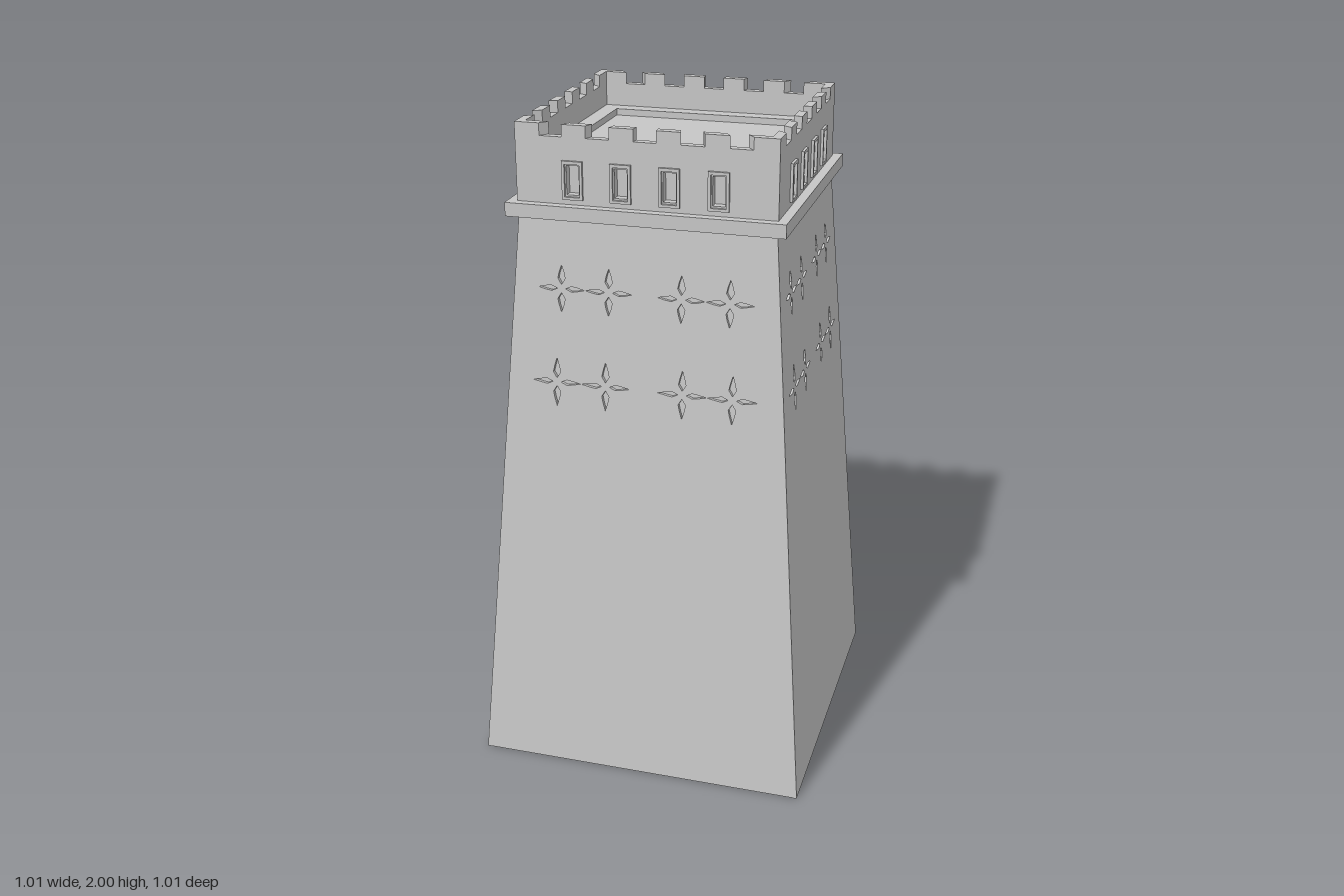
import * as THREE from 'three';

const BASE = 0.505, NECK = 0.375, BODY_TOP = 1.735;   // tapered body
const WALL = 0.377, INNER = 0.352;                    // parapet half widths
const CARVE = 0.012;                                  // depth of the carved crosses

const rect = (x0, y0, x1, y1, Type = THREE.Shape) => new Type([
  new THREE.Vector2(x0, y0), new THREE.Vector2(x1, y0),
  new THREE.Vector2(x1, y1), new THREE.Vector2(x0, y1)]);

const extrude = (shape, depth) =>
  new THREE.ExtrudeGeometry(shape, { depth, bevelEnabled: false });

// One pointed petal, starting near the cross centre and running along an angle
function petal(cx, cy, angle, length, width) {
  const profile = [[0.012, 0], [0.03, -width], [0.048, -width * 0.65], [length, 0],
    [0.048, width * 0.65], [0.03, width]];
  const c = Math.cos(angle), s = Math.sin(angle);
  return new THREE.Path(profile.map(([u, v]) =>
    new THREE.Vector2(cx + u * c - v * s, cy + u * s + v * c)));
}

export function createModel() {
  const model = new THREE.Group();
  model.name = 'tower';
  const stone = new THREE.MeshStandardMaterial({ color: 0xc6c6c6 });
  stone.name = 'pale grey stone';

  const add = (parent, name, geometry) => {
    const mesh = new THREE.Mesh(geometry, stone);
    mesh.name = name;
    parent.add(mesh);
    return mesh;
  };

  // Solid core behind the carved faces
  const r = Math.SQRT2;
  const core = new THREE.CylinderGeometry((NECK - CARVE) * r, (BASE - CARVE) * r, BODY_TOP, 4)
    .rotateY(Math.PI / 4).translate(0, BODY_TOP / 2, 0).toNonIndexed();
  core.computeVertexNormals();
  add(model, 'bodyCore', core);

  // Sloping face with two rows of four-petal crosses
  const slope = Math.atan((BASE - NECK) / BODY_TOP);
  const slant = BODY_TOP / Math.cos(slope);
  const face = new THREE.Shape([[-BASE, 0], [BASE, 0], [NECK, slant], [-NECK, slant]]
    .map(p => new THREE.Vector2(...p)));
  for (const [y, xs, length] of [[1.53, [0.107, 0.248], 0.069], [1.25, [0.115, 0.263], 0.073]]) {
    for (const x of xs) for (const side of [-1, 1]) for (let k = 0; k < 4; k++) {
      face.holes.push(petal(side * x, y / Math.cos(slope), k * Math.PI / 2,
        length, k % 2 ? 0.011 : 0.008));
    }
  }
  const faceGeometry = extrude(face, CARVE).translate(0, 0, -CARVE)
    .rotateX(-slope).translate(0, 0, BASE);

  // Parapet wall with window openings
  const windows = [-0.21, -0.07, 0.07, 0.21];
  const wall = rect(-WALL, 1.775, WALL, 1.965);
  for (const x of windows) {
    wall.holes.push(rect(x - 0.018, 1.803, x + 0.018, 1.886, THREE.Path));
  }
  const wallGeometry = extrude(wall, WALL - INNER).translate(0, 0, INNER);

  // Window surround
  const surround = rect(-0.03, 1.79, 0.03, 1.9);
  surround.holes.push(rect(-0.022, 1.798, 0.022, 1.891, THREE.Path));
  const surroundGeometry = extrude(surround, 0.008).translate(0, 0, WALL);

  // Merlons with notches that narrow towards the tower centre
  const k = INNER / WALL;
  const merlons = [[-WALL, -0.305], [-0.24, -0.17], [-0.103, -0.033],
    [0.033, 0.103], [0.17, 0.24], [0.305, WALL]];
  const merlonGeometries = merlons.map(([a, b]) => extrude(new THREE.Shape([
    new THREE.Vector2(a, -WALL), new THREE.Vector2(b, -WALL),
    new THREE.Vector2(b * k, -INNER), new THREE.Vector2(a * k, -INNER)]), 0.035)
    .rotateX(-Math.PI / 2).translate(0, 1.965, 0));

  // Four equal sides
  ['front', 'left', 'back', 'right'].forEach((name, i) => {
    const side = new THREE.Group();
    side.name = name + 'Side';
    side.rotation.y = i * Math.PI / 2;
    add(side, 'carvedFace', faceGeometry);
    add(side, 'parapetWall', wallGeometry);
    for (const x of windows) add(side, 'windowSurround', surroundGeometry).position.x = x;
    for (const geometry of merlonGeometries) add(side, 'merlon', geometry);
    model.add(side);
  });

  // Projecting ledge under the parapet
  add(model, 'ledge', new THREE.BoxGeometry(0.81, 0.04, 0.81).translate(0, 1.755, 0));

  // Roof floor with a raised walkway around it
  add(model, 'roofFloor', new THREE.BoxGeometry(INNER * 2, 0.1, INNER * 2).translate(0, 1.825, 0));
  const walk = rect(-INNER, -INNER, INNER, INNER);
  walk.holes.push(rect(-0.303, -0.303, 0.303, 0.303, THREE.Path));
  add(model, 'walkway', extrude(walk, 0.02).rotateX(-Math.PI / 2).translate(0, 1.875, 0));

  return model;
}
